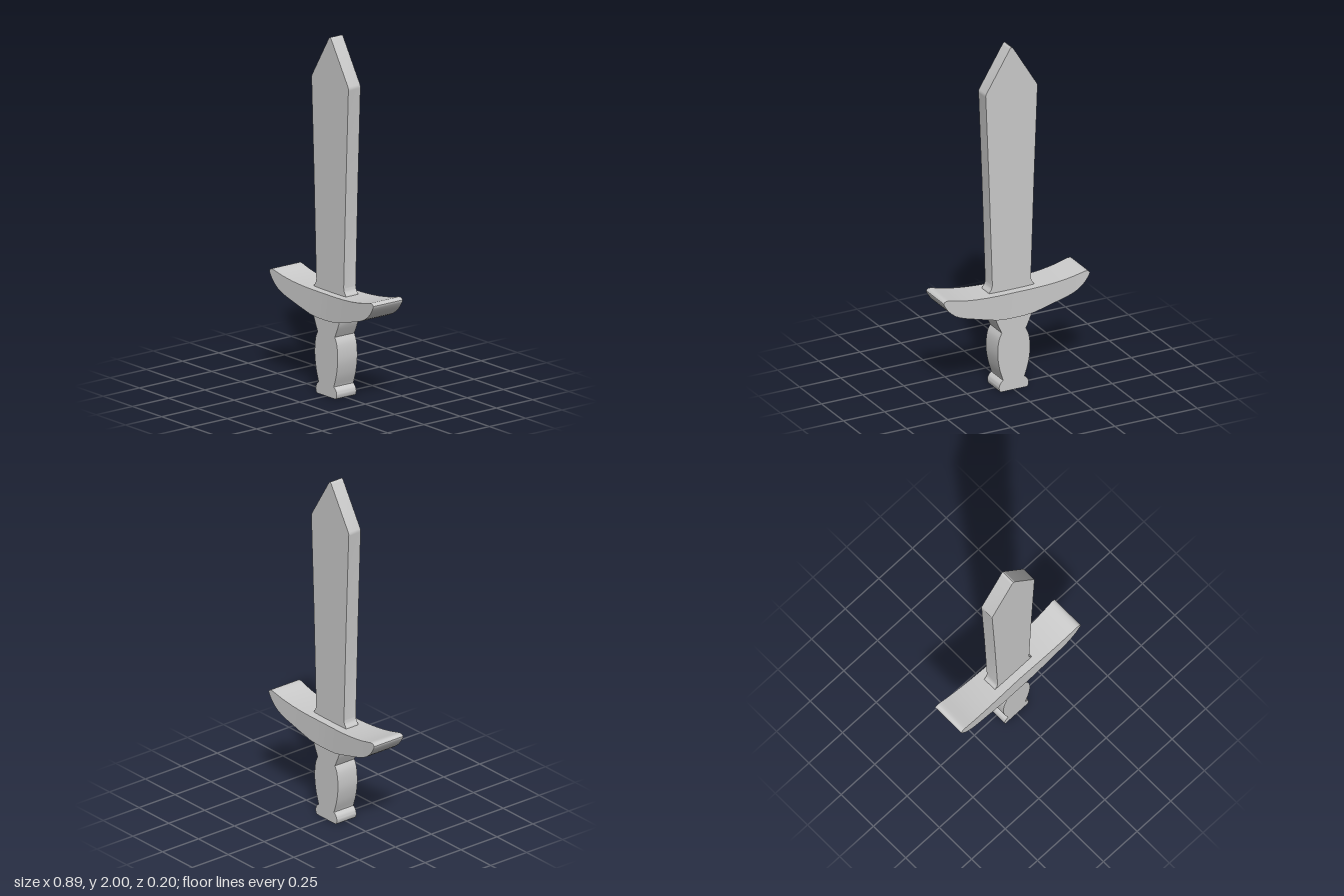
import * as THREE from 'three';
import { toCreasedNormals } from 'three/addons/utils/BufferGeometryUtils.js';

const material = new THREE.MeshStandardMaterial({ color: 0xcccccc });
const CREASE = 0.6;

function addPart(group, name, geometry) {
  const mesh = new THREE.Mesh(toCreasedNormals(geometry, CREASE), material);
  mesh.name = name;
  group.add(mesh);
}

// Slab from the right half of an outline (bottom to top), mirrored in x
function mirroredSlab(half, depth) {
  const left = half.filter(([x]) => x > 0).reverse().map(([x, y]) => [-x, y]);
  const shape = new THREE.Shape([...half, ...left].map(([x, y]) => new THREE.Vector2(x, y)));
  return new THREE.ExtrudeGeometry(shape, { depth, bevelEnabled: false }).translate(0, 0, -depth / 2);
}

// Smooth run of points through the given ones
function smooth(points, divisions) {
  return new THREE.SplineCurve(points.map(([x, y]) => new THREE.Vector2(x, y)))
    .getPoints(divisions).map((p) => [p.x, p.y]);
}

// Loft of rectangular sections along x; each station is [x, bottom, top]
function guardGeometry(stations) {
  const rings = stations.map(([x, lo, hi]) => {
    const d = 0.087 + 0.014 * Math.pow(Math.abs(x) / 0.444, 1.4);
    return [[x, lo, d], [x, hi, d], [x, hi, -d], [x, lo, -d]];
  });
  const positions = [];
  const quad = (a, b, c, d) => positions.push(...a, ...b, ...c, ...a, ...c, ...d);
  for (let i = 0; i < rings.length - 1; i++) {
    const r = rings[i], s = rings[i + 1];
    for (let k = 0; k < 4; k++) {
      const n = (k + 1) % 4;
      quad(r[k], s[k], s[n], r[n]);
    }
  }
  const first = rings[0], last = rings[rings.length - 1];
  quad(first[3], first[0], first[1], first[2]);
  quad(last[0], last[3], last[2], last[1]);
  const geometry = new THREE.BufferGeometry();
  geometry.setAttribute('position', new THREE.Float32BufferAttribute(positions, 3));
  return geometry;
}

export function createModel() {
  const group = new THREE.Group();
  group.name = 'dagger';

  // Blade: flared foot, widening sides, softened shoulders and point
  addPart(group, 'blade', mirroredSlab([
    [0.137, 0.5], [0.137, 0.58],
    ...smooth([[0.135, 0.586], [0.122, 0.604], [0.117, 0.625]], 6),
    [0.136, 1.2], [0.157, 1.735], [0.158, 1.745], [0.154, 1.757],
    [0.013, 1.988], [0.008, 1.996], [0, 2],
  ], 0.083));

  // Crossguard: upswept arms that get deeper towards the rounded ends
  const arm = [
    [0, 0.43, 0.578], [0.05, 0.431, 0.578], [0.11, 0.437, 0.579], [0.18, 0.455, 0.582],
    [0.25, 0.475, 0.588], [0.3, 0.489, 0.595], [0.34, 0.503, 0.602], [0.37, 0.518, 0.609],
    [0.395, 0.537, 0.615], [0.415, 0.557, 0.62], [0.43, 0.578, 0.62],
    [0.438, 0.592, 0.616], [0.444, 0.604, 0.608],
  ];
  const mirrored = arm.slice(1).reverse().map(([x, lo, hi]) => [-x, lo, hi]);
  addPart(group, 'crossguard', guardGeometry([...mirrored, ...arm]));

  // Handle: rounded pommel, swelling grip and a flared collar under the guard
  addPart(group, 'handle', mirroredSlab([
    [0.078, 0],
    ...smooth([[0.083, 0.002], [0.088, 0.012], [0.089, 0.032], [0.08, 0.052], [0.065, 0.065]], 12),
    ...smooth([[0.066, 0.07], [0.085, 0.13], [0.097, 0.2], [0.097, 0.26], [0.089, 0.31], [0.073, 0.345]], 20),
    [0.094, 0.39], [0.113, 0.437], [0.113, 0.48],
  ], 0.135));

  return group;
}
